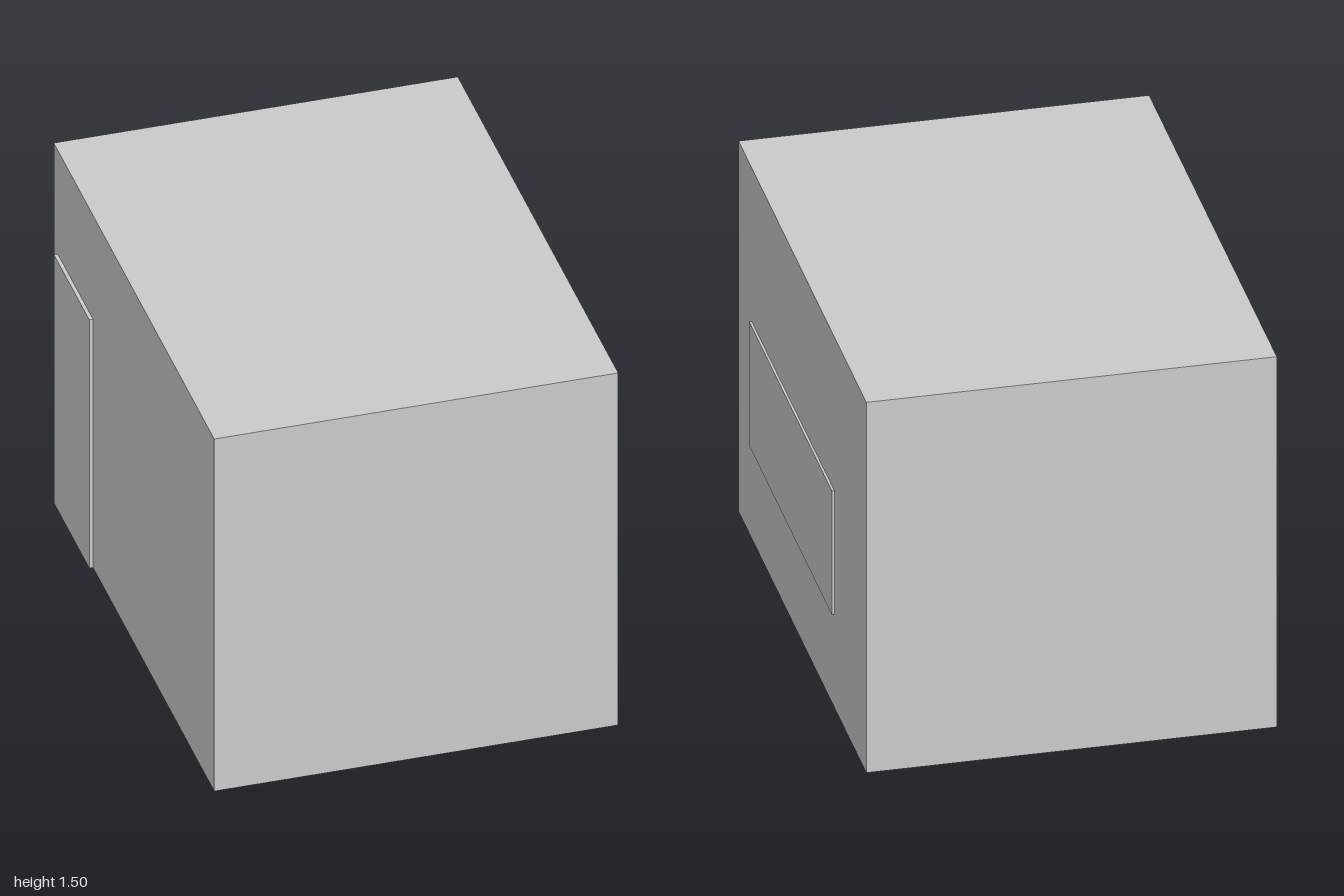
import * as THREE from 'three';

export function createModel() {
  const group = new THREE.Group();
  const material = new THREE.MeshStandardMaterial({ color: 0xcccccc, flatShading: true });

  // Adds a box spanning the given [min, max] ranges
  const addBox = (name, x, y, z) => {
    const mesh = new THREE.Mesh(
      new THREE.BoxGeometry(x[1] - x[0], y[1] - y[0], z[1] - z[0]), material);
    mesh.position.set((x[0] + x[1]) / 2, (y[0] + y[1]) / 2, (z[0] + z[1]) / 2);
    mesh.name = name;
    group.add(mesh);
  };

  // Main block
  addBox('building', [-0.75, 0.75], [0.002, 1.502], [-1, 1]);
  // Wide window panel on the +x wall, sunk slightly into it
  addBox('window', [0.74, 0.759], [0.378, 0.88], [-0.5, 0.795]);
  // Door on the -x wall, near the back corner
  addBox('door', [-0.764, -0.74], [0.002, 1.06], [-0.95, -0.51]);

  group.position.y = -0.002;
  const model = new THREE.Group();
  model.add(group);
  return model;
}
